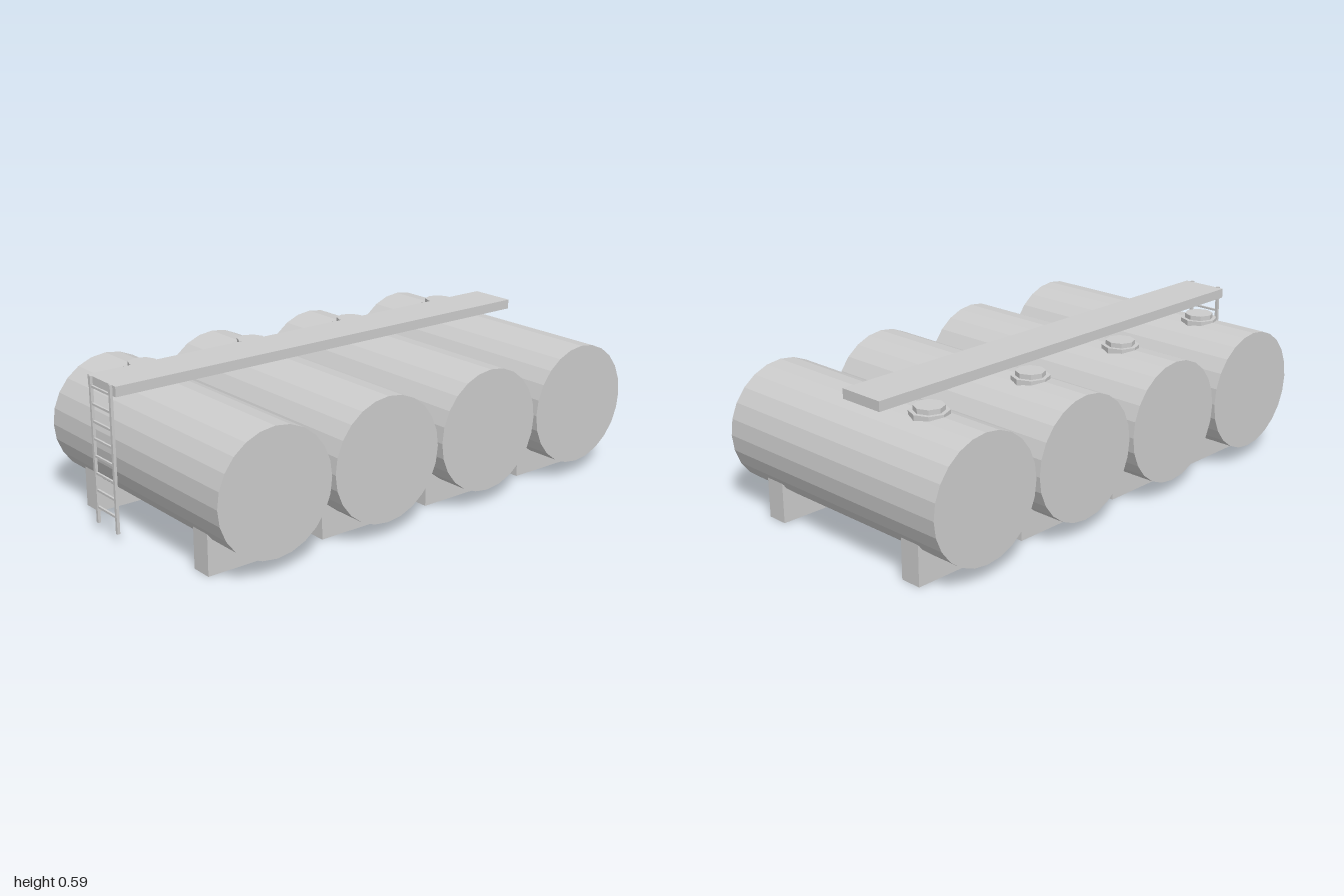
import * as THREE from 'three';

const material = new THREE.MeshStandardMaterial({ color: 0xcccccc, flatShading: true, side: THREE.DoubleSide });

function add(parent, name, geometry, x = 0, y = 0, z = 0) {
  const mesh = new THREE.Mesh(geometry, material);
  mesh.name = name;
  mesh.position.set(x, y, z);
  parent.add(mesh);
  return mesh;
}

// Box given by its min and max corners
function addBox(parent, name, [x0, y0, z0], [x1, y1, z1]) {
  const g = new THREE.BoxGeometry(x1 - x0, y1 - y0, z1 - z0);
  return add(parent, name, g, (x0 + x1) / 2, (y0 + y1) / 2, (z0 + z1) / 2);
}

const R = 0.237, AXIS_Y = 0.299, LENGTH = 1.084;

// Support block with a cradle that follows the tank's underside
function saddleGeometry(depth) {
  const half = 0.1875, tip = Math.asin(half / R);
  const s = new THREE.Shape();
  s.moveTo(-half, 0);
  s.lineTo(half, 0);
  for (let i = 0; i <= 12; i++) {
    const a = tip * (1 - i / 6);
    s.lineTo(R * Math.sin(a), AXIS_Y - R * Math.cos(a) + 0.002);
  }
  s.closePath();
  const g = new THREE.ExtrudeGeometry(s, { depth, bevelEnabled: false });
  return g.translate(0, 0, -depth / 2);
}

function createTank(x) {
  const tank = new THREE.Group();
  tank.name = 'tank';
  tank.position.x = x;

  const shell = new THREE.CylinderGeometry(R, R, LENGTH, 24);
  shell.rotateX(Math.PI / 2);
  add(tank, 'tankShell', shell, 0, AXIS_Y, 0);

  for (const z of [0.362, -0.366]) add(tank, 'saddle', saddleGeometry(0.084), 0, 0, z);

  // Octagonal hatch: flange and raised lid
  add(tank, 'hatchFlange', new THREE.CylinderGeometry(0.072, 0.072, 0.023, 8), 0, 0.5335, -0.273);
  add(tank, 'hatchLid', new THREE.CylinderGeometry(0.056, 0.056, 0.03, 8), 0, 0.548, -0.273);
  return tank;
}

// Inverted tray: top plate with a thin skirt all round
function createWalkway() {
  const walkway = new THREE.Group();
  walkway.name = 'walkway';
  const x0 = -0.99, x1 = 0.905, y0 = 0.552, y1 = 0.59, z0 = -0.185, z1 = 0.003, t = 0.006;
  addBox(walkway, 'walkwayDeck', [x0, y1 - t, z0], [x1, y1, z1]);
  addBox(walkway, 'frontSkirt', [x0, y0, z1 - t], [x1, y1 - t, z1]);
  addBox(walkway, 'backSkirt', [x0, y0, z0], [x1, y1 - t, z0 + t]);
  addBox(walkway, 'leftSkirt', [x1 - t, y0, z0 + t], [x1, y1 - t, z1 - t]);
  addBox(walkway, 'rightSkirt', [x0, y0, z0 + t], [x0 + t, y1 - t, z1 - t]);
  return walkway;
}

function createLadder() {
  const ladder = new THREE.Group();
  ladder.name = 'ladder';
  for (const z of [-0.023, -0.157]) {
    addBox(ladder, 'ladderRail', [-1, 0.038, z - 0.006], [-0.989, 0.592, z + 0.006]);
  }
  for (let i = 0; i < 8; i++) {
    const y = 0.1 + i * 0.065;
    addBox(ladder, 'ladderRung', [-0.998, y - 0.004, -0.157], [-0.99, y + 0.004, -0.023]);
  }
  return ladder;
}

export function createModel() {
  const model = new THREE.Group();
  model.name = 'storageTanks';
  for (const x of [-0.713, -0.224, 0.272, 0.762]) model.add(createTank(x));
  model.add(createWalkway(), createLadder());
  return model;
}
